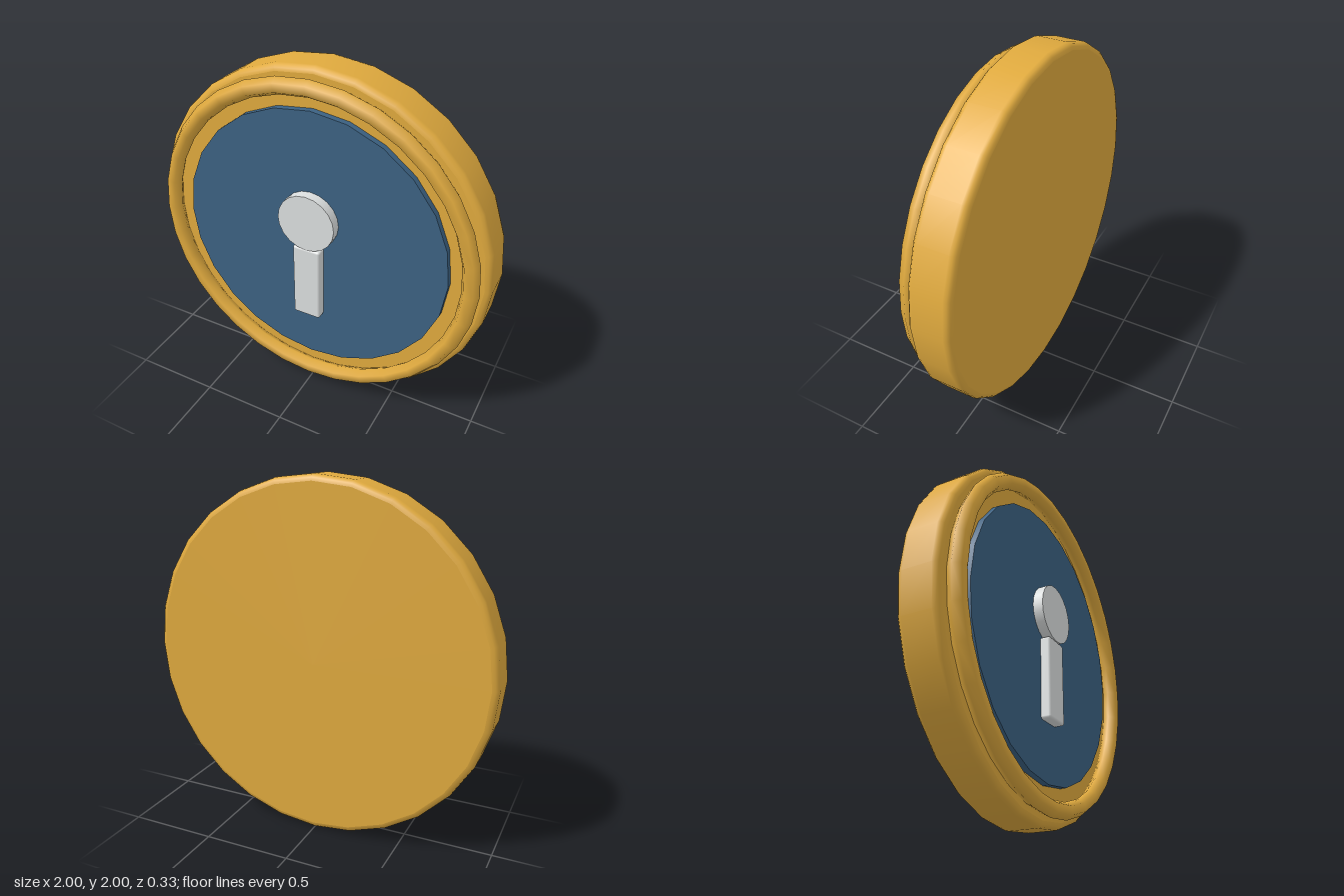
import * as THREE from 'three';
import { RoundedBoxGeometry } from 'three/addons/geometries/RoundedBoxGeometry.js';

function material(name, color) {
  const m = new THREE.MeshStandardMaterial({ color });
  m.name = name;
  return m;
}

export function createModel() {
  const gold = material('gold', 0xe0aa3e);
  const blue = material('blue', 0x3c6283);
  const silver = material('silver', 0xdcdfdf);

  const model = new THREE.Group();
  model.name = 'keyholeMedallion';

  function add(parent, name, geometry, mat, x, y, z) {
    const mesh = new THREE.Mesh(geometry, mat);
    mesh.name = name;
    mesh.position.set(x, y, z);
    parent.add(mesh);
    return mesh;
  }

  // Disc whose axis runs front to back
  const disc = (radius, depth, sides) =>
    new THREE.CylinderGeometry(radius, radius, depth, sides).rotateX(Math.PI / 2);

  // Thick body: rounded rim with flat front and back faces
  const body = new THREE.Group();
  body.name = 'body';
  model.add(body);
  const back = -0.163, front = 0.07, bevel = 0.035, sides = 28;
  const profile = [];
  for (const [z, start] of [[back + bevel, -90], [front - bevel, 0]]) {
    for (let i = 0; i <= 3; i++) {
      const a = THREE.MathUtils.degToRad(start + i * 30);
      profile.push(new THREE.Vector2(1 - bevel + bevel * Math.cos(a), z + bevel * Math.sin(a)));
    }
  }
  add(body, 'rim', new THREE.LatheGeometry(profile, sides).rotateX(Math.PI / 2), gold, 0, 1, 0);
  const face = new THREE.CircleGeometry(1 - bevel, sides);
  add(body, 'frontFace', face, gold, 0, 1, front);
  add(body, 'backFace', face, gold, 0, 1, back).rotation.y = Math.PI;

  // Raised ring on the front
  add(model, 'raisedRing', new THREE.TorusGeometry(0.908, 0.047, 6, 32), gold, 0, 1, 0.112);

  // Inset plate
  add(model, 'plate', disc(0.79, 0.05, 24), blue, 0, 1, 0.081);

  // Keyhole: round head above an upright slot
  const keyhole = new THREE.Group();
  keyhole.name = 'keyhole';
  model.add(keyhole);
  add(keyhole, 'keyholeHead', disc(0.168, 0.065, 20), silver, 0, 1.165, 0.1305);
  add(keyhole, 'keyholeSlot', new RoundedBoxGeometry(0.165, 0.465, 0.065, 2, 0.014), silver, 0, 0.768, 0.1305);

  return model;
}
